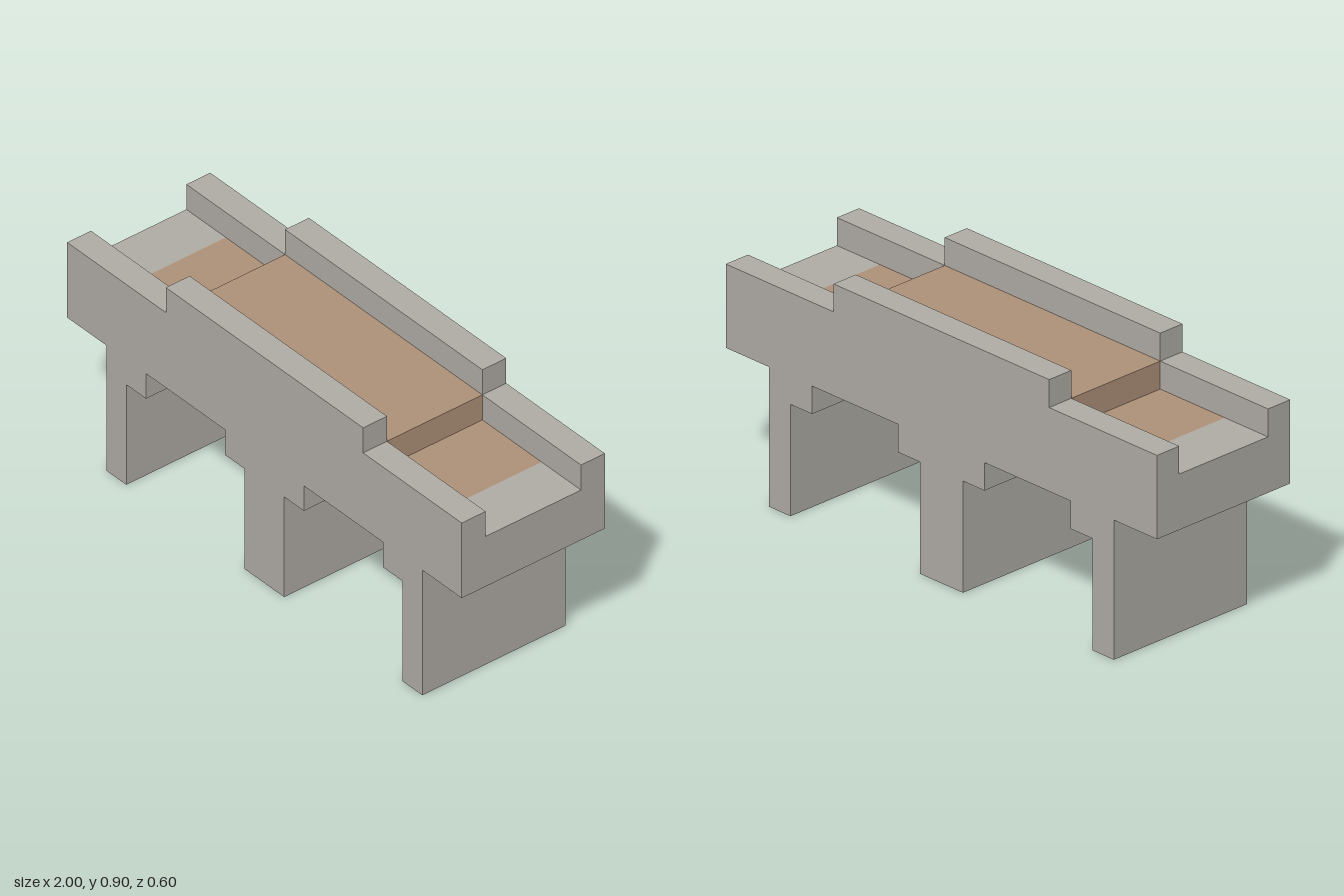
import * as THREE from 'three';

export function createModel() {
  const model = new THREE.Group();
  model.name = 'bridge';
  const stone = new THREE.MeshStandardMaterial({ color: 0xb2aea8, side: THREE.DoubleSide });
  stone.name = 'stone';
  const path = new THREE.MeshStandardMaterial({ color: 0xb0927a, side: THREE.DoubleSide });
  path.name = 'path';

  function add(name, geometry, material, x, y, z) {
    const mesh = new THREE.Mesh(geometry, material);
    mesh.name = name;
    mesh.position.set(x, y, z);
    model.add(mesh);
  }

  // Upright sheet across the bridge, facing +x or -x
  function crossWall(name, x, y0, y1, z0, z1, facing, material = stone) {
    const g = new THREE.PlaneGeometry(z1 - z0, y1 - y0).rotateY(facing * Math.PI / 2);
    add(name, g, material, x, (y0 + y1) / 2, (z0 + z1) / 2);
  }

  // Upright sheet along the bridge, facing +z or -z
  function longWall(name, x0, x1, y0, y1, z, facing) {
    const g = new THREE.PlaneGeometry(x1 - x0, y1 - y0);
    if (facing < 0) g.rotateY(Math.PI);
    add(name, g, stone, (x0 + x1) / 2, (y0 + y1) / 2, z);
  }

  // Level sheet facing up
  function floor(name, x0, x1, z0, z1, y, material) {
    const g = new THREE.PlaneGeometry(x1 - x0, z1 - z0).rotateX(-Math.PI / 2);
    add(name, g, material, (x0 + x1) / 2, y, (z0 + z1) / 2);
  }

  // Side outline: right half from the middle pier to the parapet, then mirrored
  const half = [
    [0.1, 0], [0.1, 0.4], [0.2, 0.4], [0.2, 0.5], [0.6, 0.5], [0.6, 0.4], [0.7, 0.4],
    [0.7, 0], [0.8, 0], [0.8, 0.5], [1, 0.5], [1, 0.8], [0.5, 0.8], [0.5, 0.9],
  ];
  const outline = [...half, ...half.map(([x, y]) => [-x, y]).reverse()];
  const sideShape = new THREE.Shape(outline.map(([x, y]) => new THREE.Vector2(x, y)));
  add('frontSide', new THREE.ShapeGeometry(sideShape), stone, 0, 0, 0.3);
  add('backSide', new THREE.ShapeGeometry(sideShape).rotateY(Math.PI), stone, 0, 0, -0.3);

  // Raised middle of the path
  floor('raisedPath', -0.5, 0.5, -0.2, 0.2, 0.8, path);

  for (const s of [1, -1]) {
    const span = (a, b) => (s > 0 ? [a, b] : [-b, -a]);

    // Hollow piers and their corbels, open underneath
    crossWall('outerPierOutside', s * 0.8, 0, 0.5, -0.3, 0.3, s);
    crossWall('outerPierInside', s * 0.7, 0, 0.4, -0.3, 0.3, -s);
    crossWall('outerCorbel', s * 0.6, 0.4, 0.5, -0.3, 0.3, -s);
    crossWall('middleCorbel', s * 0.2, 0.4, 0.5, -0.3, 0.3, s);
    crossWall('middlePier', s * 0.1, 0, 0.4, -0.3, 0.3, s);

    // End wall, stone landing, low path and step
    crossWall('endWall', s, 0.5, 0.7, -0.3, 0.3, s);
    floor('landing', ...span(0.8, 1), -0.2, 0.2, 0.7, stone);
    floor('lowPath', ...span(0.5, 0.8), -0.2, 0.2, 0.7, path);
    crossWall('pathStep', s * 0.5, 0.7, 0.8, -0.2, 0.2, s, path);

    // Parapet ends, tops and inner faces
    for (const t of [1, -1]) {
      const [z0, z1] = t > 0 ? [0.2, 0.3] : [-0.3, -0.2];
      crossWall('parapetEnd', s, 0.7, 0.8, z0, z1, s);
      crossWall('parapetStep', s * 0.5, 0.8, 0.9, z0, z1, s);
      floor('parapetLowTop', ...span(0.5, 1), z0, z1, 0.8, stone);
      floor('parapetHighTop', ...span(0, 0.5), z0, z1, 0.9, stone);
      longWall('parapetLowInside', ...span(0.5, 1), 0.7, 0.8, t * 0.2, -t);
      longWall('parapetHighInside', ...span(0, 0.5), 0.8, 0.9, t * 0.2, -t);
    }
  }
  return model;
}
